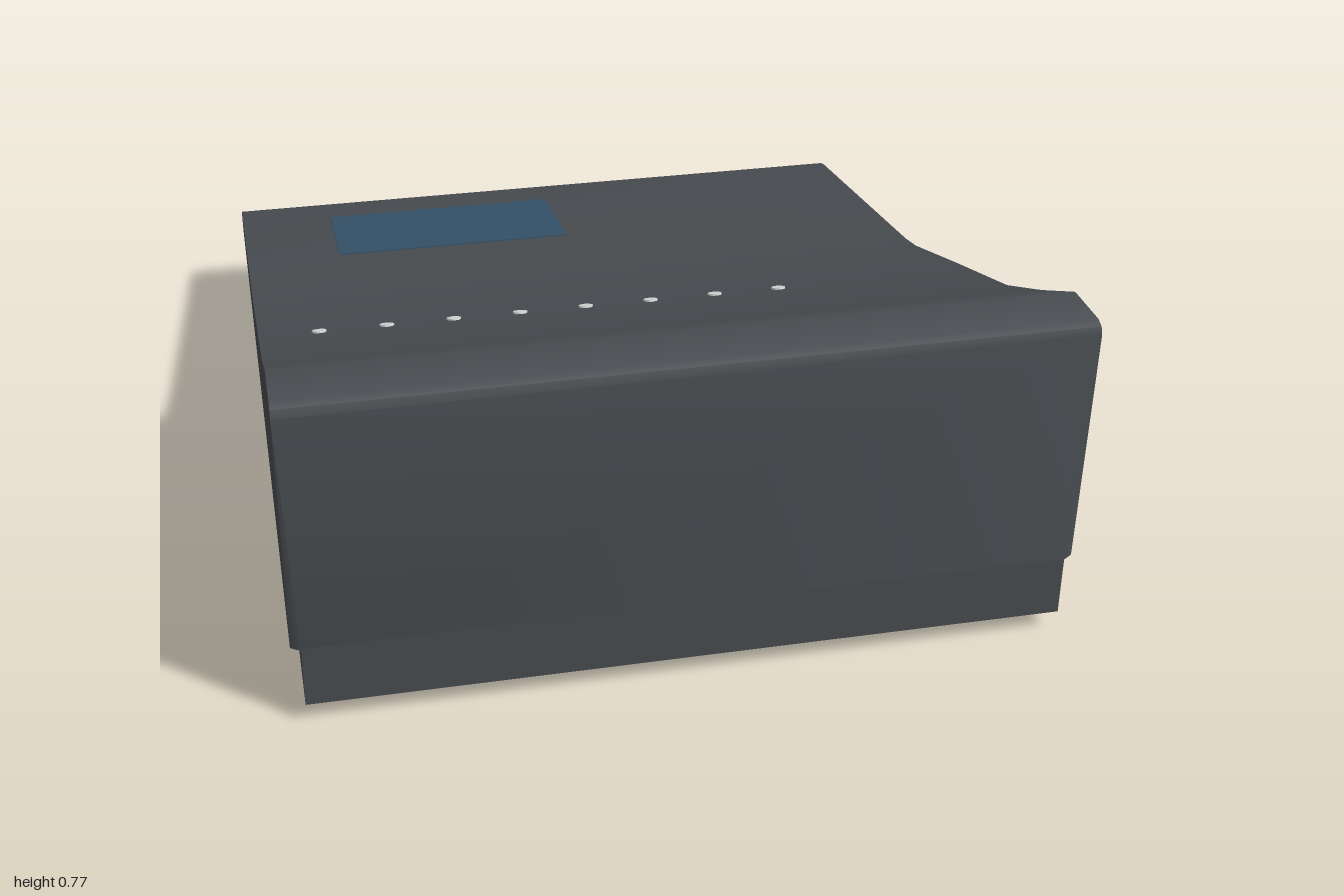
import * as THREE from 'three';
import { toCreasedNormals } from 'three/addons/utils/BufferGeometryUtils.js';

const HALF_WIDTH = 0.855;
const BASE_HALF_WIDTH = 0.833;

// Outline of the sloping case, as (z, y) points from the front edge to the back lip
const PROFILE = [
  [0.985, 0.185], [1, 0.185], [1, 0.745], [0.993, 0.763], [0.975, 0.771], [0.85, 0.77],
  [0.68, 0.686], [0.49, 0.6], [0.17, 0.497], [-0.12, 0.401], [-0.2, 0.383],
  [-0.945, 0.266], [-0.97, 0.257], [-0.99, 0.24], [-1, 0.215], [-1, 0.185],
];

// Height and pitch of the sloping top at a given z
function surfaceAt(z) {
  const i = PROFILE.findIndex((p, k) => k > 4 && p[0] <= z);
  const [z0, y0] = PROFILE[i - 1], [z1, y1] = PROFILE[i];
  const slope = (y0 - y1) / (z0 - z1);
  return { y: y0 + (z - z0) * slope, pitch: -Math.atan(slope) };
}

export function createModel() {
  const group = new THREE.Group();
  const material = (name, color) => {
    const m = new THREE.MeshStandardMaterial({ color });
    m.name = name;
    return m;
  };
  const caseGrey = material('case grey', 0x4a4e52);
  const screenBlue = material('screen blue', 0x35526a);
  const lampWhite = material('lamp white', 0xdcdcdc);

  const add = (name, geometry, mat) => {
    const mesh = new THREE.Mesh(geometry, mat);
    mesh.name = name;
    group.add(mesh);
    return mesh;
  };

  // Sloping case, its front panel narrowing slightly towards the base
  const shape = new THREE.Shape(PROFILE.map(([z, y]) => new THREE.Vector2(z, y)));
  const caseGeometry = new THREE.ExtrudeGeometry(shape, { depth: 2 * HALF_WIDTH, bevelEnabled: false });
  caseGeometry.rotateY(-Math.PI / 2).translate(HALF_WIDTH, 0, 0);
  const pos = caseGeometry.attributes.position;
  for (let i = 0; i < pos.count; i++) {
    if (pos.getZ(i) > 0.995 && pos.getY(i) < 0.3) {
      pos.setX(i, Math.sign(pos.getX(i)) * BASE_HALF_WIDTH);
    }
  }
  add('slopingCase', toCreasedNormals(caseGeometry, 0.6), caseGrey);

  // Base tray
  const base = add('baseTray', new THREE.BoxGeometry(2 * BASE_HALF_WIDTH, 0.145, 1.98), caseGrey);
  base.position.set(0, 0.1175, 0.01);

  // Four tapered feet
  const footGeometry = new THREE.CylinderGeometry(0.042, 0.031, 0.05, 12);
  for (const x of [-0.7, 0.7]) {
    for (const z of [-0.845, 0.845]) {
      add('foot', footGeometry, caseGrey).position.set(x, 0.025, z);
    }
  }

  // Display window lying on the lower slope
  const screenSpot = surfaceAt(-0.65);
  const screenDepth = 0.34 / Math.cos(screenSpot.pitch);
  const screen = add('displayWindow', new THREE.BoxGeometry(0.61, 0.006, screenDepth), screenBlue);
  screen.position.set(-0.31, screenSpot.y, -0.65);
  screen.rotation.x = screenSpot.pitch;

  // Row of eight small lamps
  const lampSpot = surfaceAt(0.28);
  const lampGeometry = new THREE.CylinderGeometry(0.017, 0.017, 0.008, 8);
  for (let i = 0; i < 8; i++) {
    const lamp = add('lamp', lampGeometry, lampWhite);
    lamp.position.set(-0.717 + i * 0.155, lampSpot.y, 0.28);
    lamp.rotation.x = lampSpot.pitch;
  }

  return group;
}
